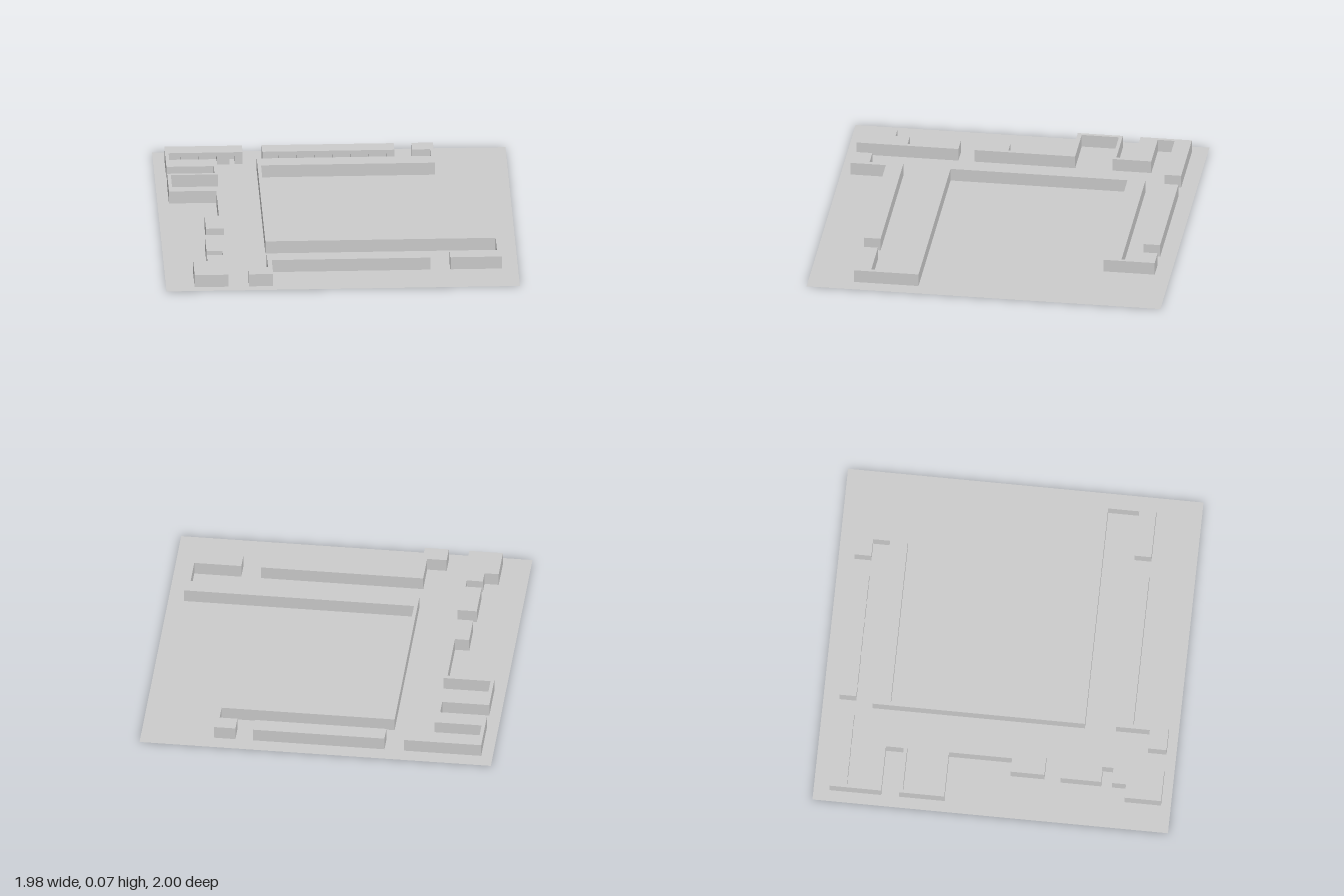
import * as THREE from 'three';

const HEIGHT = 0.073;        // block height
const NICHE_HEIGHT = 0.05;   // door openings in the back rows
const FRONT = -0.815;        // front face of the back rows

export function createModel() {
  const group = new THREE.Group();
  group.name = 'courtyardSite';
  const material = new THREE.MeshStandardMaterial({ color: 0xcccccc, flatShading: true });

  // Upright block from a plan outline of [x, z] corners, between two heights
  function block(name, plan, bottom = 0, top = HEIGHT) {
    const shape = new THREE.Shape(plan.map(([x, z]) => new THREE.Vector2(x, -z)));
    const geometry = new THREE.ExtrudeGeometry(shape, { depth: top - bottom, bevelEnabled: false });
    geometry.rotateX(-Math.PI / 2);
    const mesh = new THREE.Mesh(geometry, material);
    mesh.name = name;
    mesh.position.y = bottom;
    group.add(mesh);
  }

  // Corners of evenly spaced door niches along the front face, running towards -x
  function niches(firstX, count) {
    const points = [];
    for (let i = 0; i < count; i++) {
      const x = firstX - i * 0.1;
      points.push([x + 0.015, FRONT], [x + 0.015, -0.89], [x - 0.015, -0.89], [x - 0.015, FRONT]);
    }
    return points;
  }

  // Block with door niches: cut outline below, plain outline above
  function nichedBlock(name, before, doors, after) {
    block(name + 'Lower', [...before, ...doors, ...after], 0, NICHE_HEIGHT);
    block(name + 'Upper', [...before, ...after], NICHE_HEIGHT, HEIGHT);
  }

  // Thin ground sheet
  const groundMaterial = material.clone();
  groundMaterial.side = THREE.DoubleSide;
  const ground = new THREE.Mesh(new THREE.PlaneGeometry(1.98, 2).rotateX(-Math.PI / 2), groundMaterial);
  ground.name = 'groundSheet';
  group.add(ground);

  // Winding building on the right side, starting with the back corner row
  nichedBlock('windingBuilding',
    [[-0.925, -0.91], [-0.49, -0.91], [-0.49, FRONT]],
    niches(-0.55, 4),
    [[-0.905, FRONT], [-0.905, -0.72], [-0.64, -0.72], [-0.64, -0.5], [-0.905, -0.5],
      [-0.905, -0.29], [-0.64, -0.29], [-0.64, 0.28], [-0.74, 0.28], [-0.74, 0.09],
      [-0.66, 0.09], [-0.66, -0.265], [-0.925, -0.265], [-0.925, -0.52], [-0.66, -0.52],
      [-0.66, -0.62], [-0.925, -0.62]]);

  // Straight row along the back
  nichedBlock('backRow',
    [[-0.38, -0.91], [0.36, -0.91], [0.36, FRONT]],
    niches(0.3, 7),
    [[-0.38, FRONT]]);

  // Large building wrapped around the courtyard
  block('courtyardBuilding', [
    [0.46, -0.91], [0.58, -0.91], [0.58, -0.62], [-0.395, -0.62], [-0.395, 0.38],
    [0.9, 0.38], [0.9, 0.745], [0.61, 0.745], [0.61, 0.65], [0.875, 0.65],
    [0.875, 0.475], [-0.415, 0.475], [-0.415, -0.72], [0.56, -0.72], [0.56, FRONT], [0.46, FRONT],
  ]);

  // Stepped house in the front right corner
  block('cornerHouse', [
    [-0.75, 0.37], [-0.64, 0.37], [-0.64, 0.945], [-0.83, 0.945], [-0.83, 0.74],
    [-0.75, 0.74], [-0.75, 0.66], [-0.66, 0.66], [-0.66, 0.6], [-0.75, 0.6],
  ]);

  // Long front row with its end pavilion
  block('frontRow', [
    [-0.415, 0.65], [0.5, 0.65], [0.5, 0.745], [-0.39, 0.745], [-0.39, 0.945],
    [-0.525, 0.945], [-0.525, 0.84], [-0.415, 0.84],
  ]);

  return group;
}
